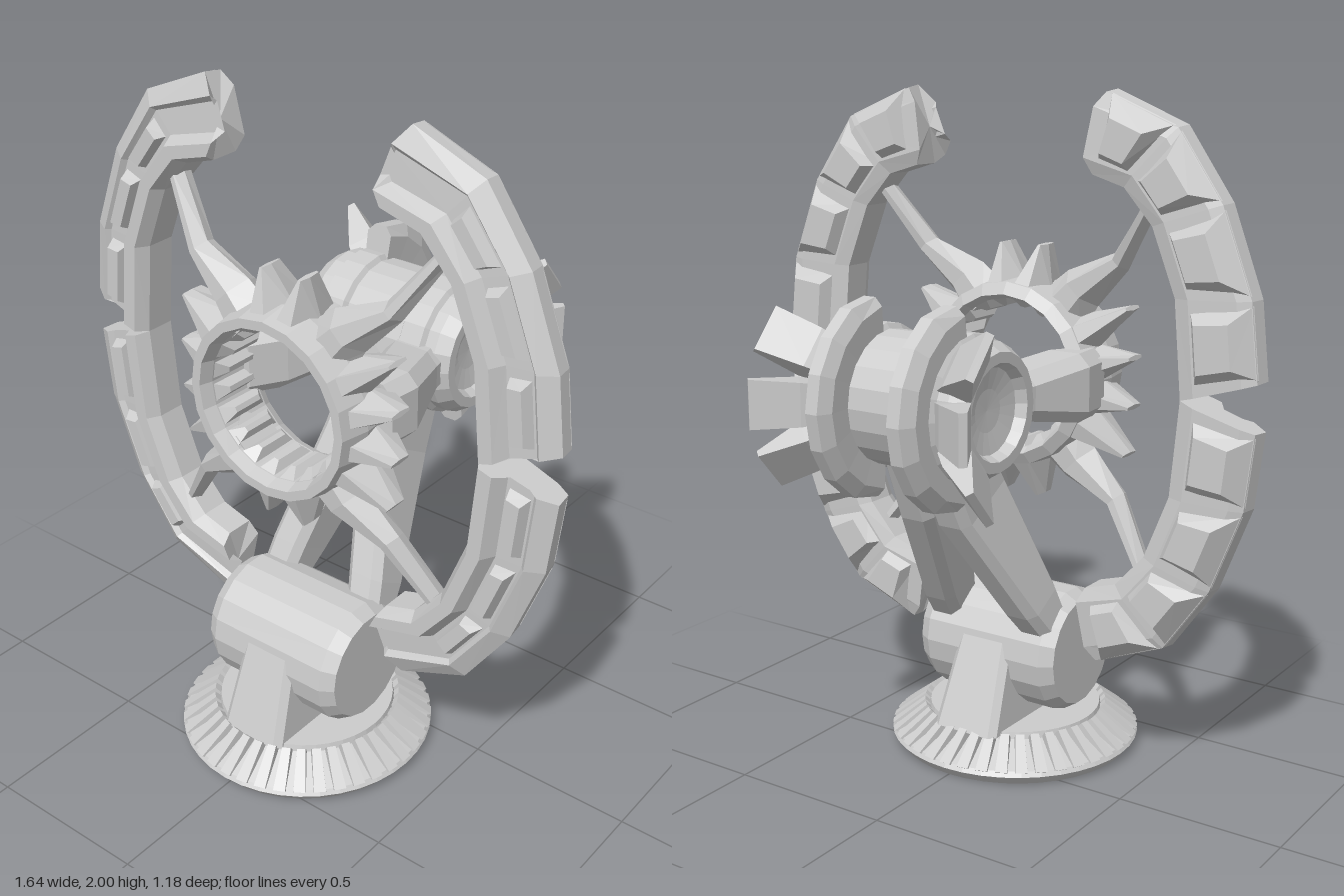
import * as THREE from 'three';

const CY = 1.17;            // height of the ring and the upper joint
const JZ = -0.28;           // depth of the upper joint
const BZ = 0.21;            // depth of the base and the lower joint
const material = new THREE.MeshStandardMaterial({ color: 0xcccccc, flatShading: true, side: THREE.DoubleSide });

function add(parent, name, geometry) {
  const mesh = new THREE.Mesh(geometry, material);
  mesh.name = name;
  parent.add(mesh);
  return mesh;
}

// Closed solid through a list of equal-length cross-sections, always facing outward
function loft(rings) {
  const tris = [];
  const n = rings[0].length;
  const centre = r => [0, 1, 2].map(k => r.reduce((s, p) => s + p[k], 0) / n);
  const first = rings[0], last = rings[rings.length - 1];
  const c0 = centre(first), c1 = centre(last);
  for (let j = 0; j < n; j++) {
    const k = (j + 1) % n;
    for (let i = 0; i < rings.length - 1; i++) {
      const a = rings[i], b = rings[i + 1];
      tris.push([a[j], a[k], b[k]], [a[j], b[k], b[j]]);
    }
    tris.push([c0, first[k], first[j]], [c1, last[j], last[k]]);
  }
  const vec = p => new THREE.Vector3(...p);
  const volume = tris.reduce((s, t) => s + vec(t[0]).dot(vec(t[1]).cross(vec(t[2]))), 0);
  if (volume < 0) tris.forEach(t => t.reverse());
  const g = new THREE.BufferGeometry();
  g.setAttribute('position', new THREE.Float32BufferAttribute(tris.flat(2), 3));
  g.computeVertexNormals();
  return g;
}

const lathe = (profile, sides) => new THREE.LatheGeometry(profile.map(p => new THREE.Vector2(...p)), sides);

// Octagonal section: half sizes u, v with cut corners c
const octagon = (u, v, c) => [
  [u, v - c], [u - c, v], [c - u, v], [-u, v - c], [-u, c - v], [c - u, -v], [u - c, -v], [u, c - v]];

// Outline of one quarter of the outer dish, measured from the ring centre
const INNER = [[0.59, 0], [0.565, 0.28], [0.49, 0.47], [0.40, 0.57], [0.30, 0.60]];
const OUTER = [[0.82, 0.07], [0.795, 0.29], [0.70, 0.54], [0.56, 0.74], [0.34, 0.83]];

function dishPoint(t, f) {
  const i = Math.min(3, Math.floor(t)), u = t - i;
  const mix = (a, b, k) => a + (b - a) * k;
  const p = [0, 1].map(k => mix(mix(INNER[i][k], INNER[i + 1][k], u), mix(OUTER[i][k], OUTER[i + 1][k], u), f));
  if (t === 4) p[0] -= 0.075 * (1 - Math.abs(2 * f - 1));   // pointed tip
  return p;
}

function buildBase(model) {
  const base = new THREE.Group();
  base.name = 'base';
  base.position.z = BZ;
  model.add(base);
  add(base, 'baseDisc', lathe([[0, 0.025], [0.3, 0.025], [0.32, 0], [0.36, 0], [0.385, 0.03],
    [0.375, 0.045], [0.27, 0.1], [0.265, 0.12], [0, 0.12]], 40));
  for (let i = 0; i < 40; i++) {
    const rib = add(base, 'baseRib', loft([
      [[-0.02, 0.03, 0.36], [0.02, 0.03, 0.36], [0.018, 0.045, 0.384], [-0.018, 0.045, 0.384]],
      [[-0.016, 0.09, 0.25], [0.016, 0.09, 0.25], [0.013, 0.122, 0.283], [-0.013, 0.122, 0.283]]]));
    rib.rotation.y = i * Math.PI / 20;
  }
  // Tapered pedestal gripping the lower joint
  const slab = (y, x, z0, z1) => octagon(x, (z1 - z0) / 2, 0.02).map(([a, b]) => [a, y, b + (z0 + z1) / 2]);
  add(base, 'pedestal', loft([slab(0.11, 0.11, -0.29, 0.27), slab(0.38, 0.09, -0.18, 0.18), slab(0.48, 0.09, -0.1, 0.1)]));
  const drum = add(base, 'lowerJoint', lathe([[0, -0.24], [0.165, -0.24], [0.19, -0.2], [0.19, 0.2], [0.165, 0.24], [0, 0.24]], 18));
  drum.rotation.z = -Math.PI / 2;
  drum.position.y = 0.33;
}

function buildArms(model) {
  for (const s of [1, -1]) {
    // Leg leaning back; [along, x, x half, centre offset, half depth]
    const legs = [[0.05, 0.18, 0.055, -0.03, 0.05], [0.25, 0.147, 0.06, -0.032, 0.08],
      [0.65, 0.065, 0.062, -0.025, 0.118], [0.92, 0.055, 0.055, -0.01, 0.11]];
    add(model, 'leg', loft(legs.map(([t, x, w, o, h]) => octagon(w, h, 0.025).map(([a, b]) =>
      [s * (x + a), 0.33 + 0.84 * t + 0.504 * (b + o), BZ - 0.49 * t + 0.864 * (b + o)]))));
    // Strut from the upper joint forward to the ring
    const struts = [[-0.2, 0.14, 0.085, 0.065], [-0.08, 0.16, 0.09, 0.07], [0.1, 0.23, 0.085, 0.1], [0.2, 0.255, 0.05, 0.1]];
    add(model, 'strut', loft(struts.map(([z, x, w, h]) => octagon(w, h, 0.035).map(([a, b]) => [s * (x + a), CY + b, z]))));
  }
}

function buildUpperJoint(model) {
  const joint = new THREE.Group();
  joint.name = 'upperJoint';
  joint.position.set(0, CY, JZ);
  model.add(joint);
  const half = [[0.19, 0.1], [0.205, 0.11], [0.205, 0.18], [0.19, 0.19], [0.19, 0.225], [0.165, 0.265],
    [0.135, 0.265], [0.12, 0.235], [0.06, 0.225], [0, 0.222]];
  const mirrored = half.map(([r, x]) => [r, -x]).reverse();
  add(joint, 'jointDrum', lathe([...mirrored, ...half], 20)).rotation.z = -Math.PI / 2;

  for (const s of [1, -1]) {
    // Crescent flange round the back of the drum
    const sections = [];
    for (let i = 0; i <= 8; i++) {
      const a = (i / 4 - 1) * 1.42, end = i === 0 || i === 8 ? 0.015 : 0;
      sections.push([[0.17, 0.1], [0.26, 0.095], [0.3 - end, 0.115], [0.3 - end, 0.155], [0.26, 0.18], [0.17, 0.18]]
        .map(([r, x]) => [s * x, r * Math.sin(a), -r * Math.cos(a)]));
    }
    add(joint, 'flange', loft(sections));
    // Three flared blades
    for (const a of [-0.72, 0, 0.72]) {
      const bar = (r, x, w, t) => [[s * (x - t), -w, -r - t], [s * (x - t), w, -r - t], [s * (x + t), w, -r + t], [s * (x + t), -w, -r + t]];
      add(joint, 'blade', loft([bar(0.14, 0.2, 0.05, 0.03), bar(0.2, 0.26, 0.062, 0.03), bar(0.3, 0.355, 0.07, 0.008)])).rotation.x = a;
    }
  }
}

function buildRing(model) {
  const ring = new THREE.Group();
  ring.name = 'ring';
  ring.position.y = CY;
  model.add(ring);
  add(ring, 'ringBand', lathe([[0.24, 0.13], [0.275, 0.15], [0.285, 0.28], [0.268, 0.37], [0.24, 0.37],
    [0.228, 0.33], [0.225, 0.16], [0.24, 0.13]], 20)).rotation.x = Math.PI / 2;
  // Teeth on the inside of the band
  for (let i = 0; i < 20; i++) {
    add(ring, 'innerTooth', loft([
      [[0.235, -0.033, 0.15], [0.235, 0.033, 0.15], [0.235, 0.033, 0.34], [0.235, -0.033, 0.34]],
      [[0.2, -0.008, 0.19], [0.2, 0.008, 0.19], [0.2, 0.008, 0.29], [0.2, -0.008, 0.29]]])).rotation.z = (i + 0.5) * Math.PI / 10;
  }
  // Outward spikes: [angle in degrees, tip radius]
  for (const [deg, tip] of [[11, 0.38], [31, 0.42], [80, 0.385]]) {
    for (const a of [deg, 180 - deg, 180 + deg, -deg]) {
      add(ring, 'spike', loft([
        [[0.24, -0.065, 0.24], [0.24, -0.03, 0.35], [0.24, 0.03, 0.35], [0.24, 0.065, 0.24], [0.24, 0.03, 0.14], [0.24, -0.03, 0.14]],
        [[tip, -0.008, 0.26], [tip, -0.004, 0.295], [tip, 0.004, 0.295], [tip, 0.008, 0.26], [tip, 0.004, 0.22], [tip, -0.004, 0.22]]
      ])).rotation.z = a * Math.PI / 180;
    }
  }
}

function buildDish(model) {
  const dish = new THREE.Group();
  dish.name = 'dish';
  dish.position.y = CY;
  model.add(dish);
  const profile = [[0, 0.12], [0, 0.21], [0.1, 0.25], [0.28, 0.25], [0.38, 0.205], [0.72, 0.2], [0.78, 0.215],
    [1, 0.185], [0.97, 0.13], [0.8, 0.115], [0.2, 0.105]];
  for (const sx of [1, -1]) for (const sy of [1, -1]) {
    const at = (t, f, z) => { const p = dishPoint(t, f); return [sx * p[0], sy * p[1], z]; };
    const patch = (t0, t1, f0, f1, z) => [at(t0, f0, z), at(t1, f0, z), at(t1, f1, z), at(t0, f1, z)];
    add(dish, 'dishArc', loft([0, 1, 2, 3, 4].map(t => profile.map(([f, z]) => at(t, f, z)))));
    for (let i = 0; i < 4; i++) {
      // Raised panel in the front groove and a block on the back
      if (i < 3) add(dish, 'frontPanel', loft([patch(i + 0.1, i + 0.9, 0.41, 0.7, 0.195), patch(i + 0.18, i + 0.82, 0.46, 0.64, 0.235)]));
      add(dish, 'backBlock', loft([patch(i + 0.05, i + 0.95, 0.15, 0.98, 0.135), patch(i + 0.24, i + 0.76, 0.32, 0.76, 0.072)]));
    }
    // Bent spoke joining ring and arc; [x, y, half width, half depth, z]
    const spoke = [[0.13, 0.18, 0.09, 0.07, 0.25], [0.2, 0.26, 0.07, 0.06, 0.25], [0.335, 0.35, 0.032, 0.04, 0.235], [0.46, 0.53, 0.02, 0.035, 0.18]];
    add(dish, 'spoke', loft(spoke.map(([x, y, w, h, z]) =>
      [[-w, 0], [-w * 0.4, h], [w * 0.4, h], [w, 0], [w * 0.4, -h], [-w * 0.4, -h]]
        .map(([a, b]) => [sx * (x + a * 0.72), sy * (y - a * 0.7), z + b]))));
  }
}

export function createModel() {
  const model = new THREE.Group();
  model.name = 'dishAntenna';
  buildBase(model);
  buildArms(model);
  buildUpperJoint(model);
  buildRing(model);
  buildDish(model);
  return model;
}
